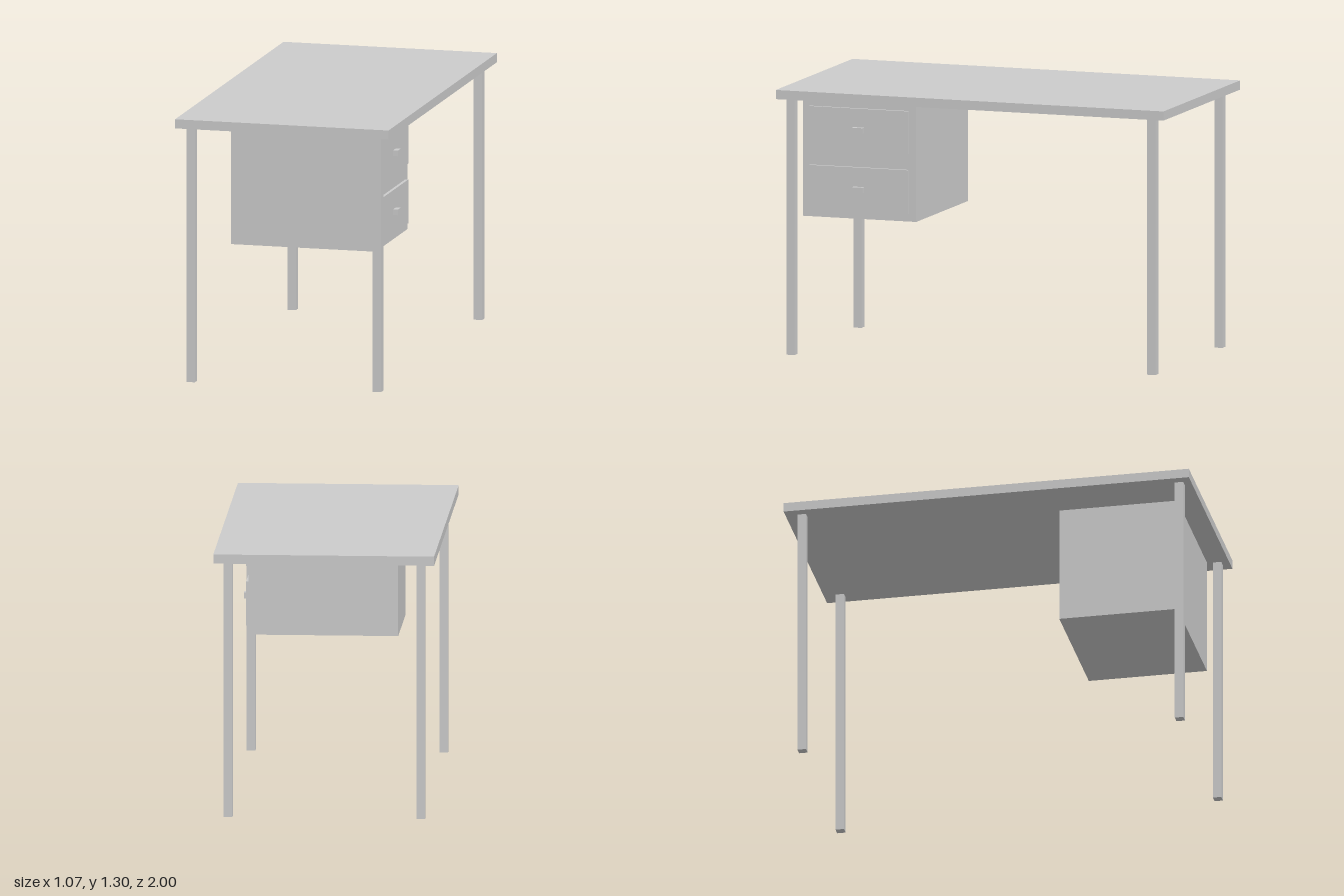
import * as THREE from 'three';

const material = new THREE.MeshStandardMaterial({ color: 0xcccccc, flatShading: true });

// Box given by its extents along each axis
function box(name, [x0, x1], [y0, y1], [z0, z1]) {
  const mesh = new THREE.Mesh(new THREE.BoxGeometry(x1 - x0, y1 - y0, z1 - z0), material);
  mesh.position.set((x0 + x1) / 2, (y0 + y1) / 2, (z0 + z1) / 2);
  mesh.name = name;
  return mesh;
}

export function createModel() {
  const desk = new THREE.Group();
  desk.name = 'desk';

  const under = 1.255; // underside of the top
  desk.add(box('desktop', [-0.535, 0.535], [under, 1.3], [-1, 1]));

  // Four square legs
  for (const [side, x] of [['right', -0.467], ['left', 0.467]]) {
    for (const [end, z] of [['front', 0.942], ['back', -0.92]]) {
      desk.add(box(`${end}${side === 'left' ? 'Left' : 'Right'}Leg`,
        [x - 0.021, x + 0.021], [0, under], [z - 0.021, z + 0.021]));
    }
  }

  // Drawer cabinet hung under the top, opening towards +x
  const cabinet = new THREE.Group();
  cabinet.name = 'drawerCabinet';
  const face = 0.442, panel = face + 0.015;
  cabinet.add(box('cabinetBody', [-0.283, face], [0.677, under], [0.31, 0.893]));
  for (const [name, y0, y1] of [['upper', 1.008, 1.218], ['lower', 0.714, 0.93]]) {
    const mid = (y0 + y1) / 2;
    cabinet.add(box(`${name}DrawerFront`, [face - 0.01, panel], [y0, y1], [0.347, 0.857]));
    cabinet.add(box(`${name}DrawerHandle`, [panel - 0.005, panel + 0.024],
      [mid - 0.014, mid + 0.014], [0.573, 0.627]));
  }
  desk.add(cabinet);

  return desk;
}
